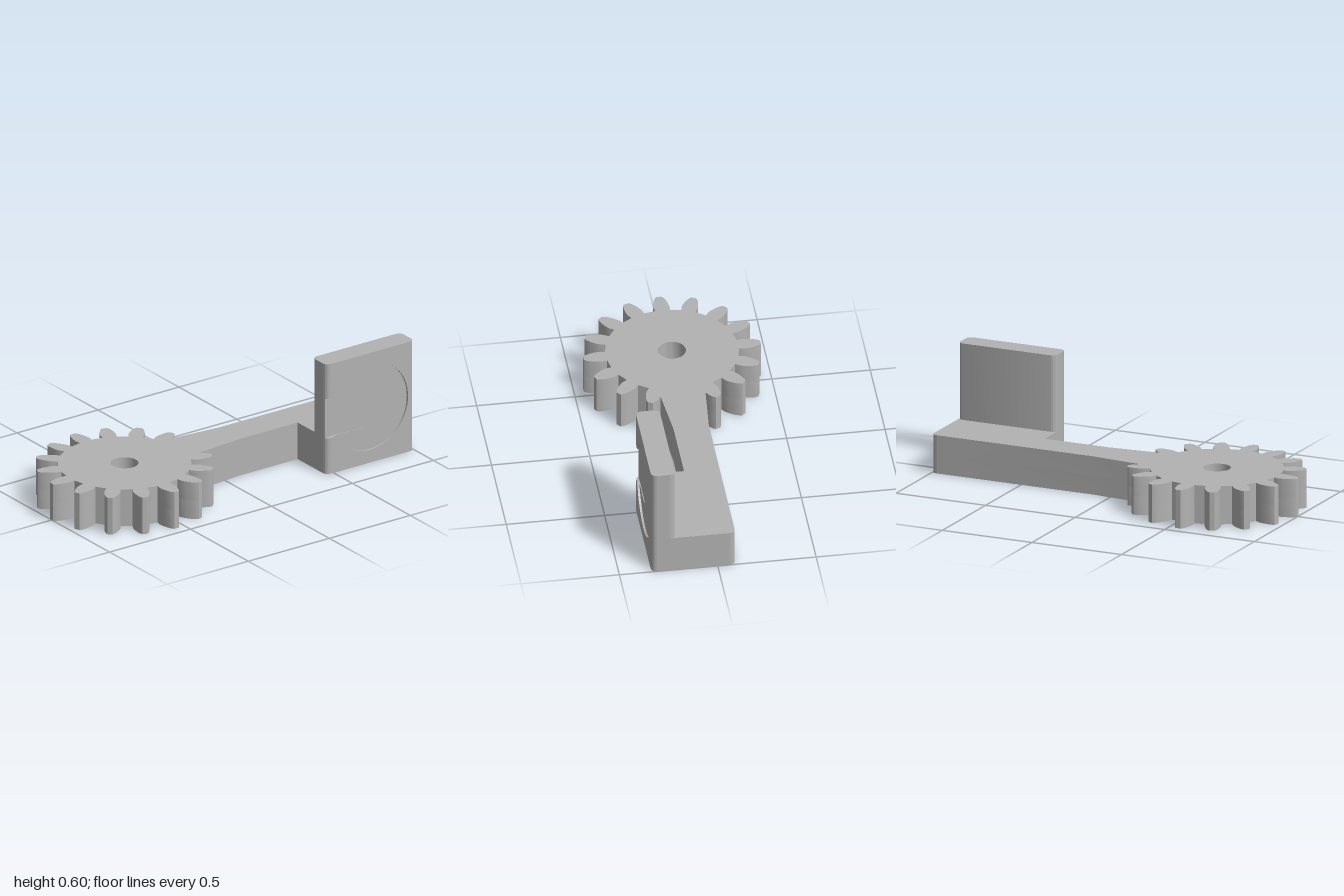
import * as THREE from 'three';
import { toCreasedNormals } from 'three/addons/utils/BufferGeometryUtils.js';

const PI = Math.PI;
const GEAR_Y = -0.55;                    // gear centre, plan coordinates (x, -z)
const PLATE = { left: 0.215, right: 0.337, near: 0.455, far: 1, height: 0.6, r: 0.03 };
const FLOOR = 0.322;                     // depth at which the face recess ends

const grey = new THREE.MeshStandardMaterial({ color: 0xb2b2b2 });
grey.name = 'grey';

function part(name, geometry) {
  const mesh = new THREE.Mesh(toCreasedNormals(geometry, 0.5), grey);
  mesh.name = name;
  return mesh;
}

// Plan shape (x, -z) raised from y0 to y1
function raise(shape, y0, y1) {
  return new THREE.ExtrudeGeometry(shape, { depth: y1 - y0, bevelEnabled: false, curveSegments: 24 })
    .rotateX(-PI / 2).translate(0, y0, 0);
}

// Side shape (-z, y) extended from x0 to x1
function extendX(shape, x0, x1, steps = 1) {
  return new THREE.ExtrudeGeometry(shape, { depth: x1 - x0, steps, bevelEnabled: false, curveSegments: 48 })
    .rotateY(PI / 2).translate(x0, 0, 0);
}

// Gear and arm share one outline; the tooth under the arm is left out
function gearArmShape() {
  const flank = [[0.335, 0.036], [0.365, 0.041], [0.39, 0.038], [0.415, 0.032], [0.438, 0.023], [0.45, 0.013]];
  const points = [];
  for (let i = 0; i < 15; i++) {
    const a = (112.5 + i * 22.5) * PI / 180;
    const at = ([r, h], side) => new THREE.Vector2(
      r * Math.cos(a) - side * h * Math.sin(a),
      GEAR_Y + r * Math.sin(a) + side * h * Math.cos(a));
    const rise = i === 0 ? flank.slice(2) : flank;
    const fall = i === 14 ? flank.slice(2) : flank;
    points.push(...rise.map(p => at(p, -1)), ...fall.map(p => at(p, 1)).reverse());
  }
  const shape = new THREE.Shape(points);
  shape.lineTo(0.09, 0.1);
  shape.lineTo(0.09, PLATE.near);
  shape.lineTo(0.26, PLATE.near);
  shape.lineTo(0.26, PLATE.far);
  shape.absarc(-0.06, 0.97, 0.03, PI / 2, PI, false);
  shape.lineTo(-0.09, 0.1);
  return shape;
}

// Round shaft hole, and the tapered pocket on the underside
function shaftHole() {
  return new THREE.Path().absarc(0, GEAR_Y, 0.07, 0, PI * 2, false);
}
function pocketHole() {
  const path = new THREE.Path();
  path.absarc(0, GEAR_Y, 0.09, PI, PI * 2, false);
  path.absarc(0, -0.2, 0.065, 0, PI, false);
  path.closePath();
  return path;
}

// Upright plate behind the recess, rounded at its vertical edges
function plateBodyShape() {
  const { left, right, near, far, r } = PLATE;
  const s = new THREE.Shape();
  s.absarc(left + r, near + r, r, PI, PI * 1.5, false);
  s.absarc(right - r, near + r, r, -PI / 2, -PI / 3, false);
  s.absarc(right - r, far - r, r, PI / 3, PI / 2, false);
  s.absarc(left + r, far - r, r, PI / 2, PI, false);
  s.closePath();
  return s;
}

// Outer face layer with a round recess that opens through a notch
const DISC = { u: 0.725, v: 0.305, r: 0.235 };
const NOTCH = { low: 0.195, high: 0.41, end: 0.685 };
const openAngle = Math.asin((NOTCH.high - DISC.v) / DISC.r);

function faceLayer() {
  const { near, far, height, right, r } = PLATE;
  const s = new THREE.Shape();
  s.moveTo(near, 0);
  s.lineTo(far, 0);
  s.lineTo(far, height);
  s.lineTo(near, height);
  s.lineTo(near, NOTCH.high);
  s.absarc(DISC.u, DISC.v, DISC.r, PI - openAngle, -PI + openAngle, true);
  s.lineTo(near, NOTCH.low);
  s.closePath();
  const g = extendX(s, FLOOR, right, 5);
  // Pull the end edges in along the rounded corner
  const p = g.attributes.position;
  for (let i = 0; i < p.count; i++) {
    const dx = p.getX(i) - (right - r);
    const inset = r - Math.sqrt(Math.max(0, r * r - dx * dx));
    p.setZ(i, THREE.MathUtils.clamp(p.getZ(i), -far + inset, -near - inset));
  }
  return g;
}

// Recess floor, slightly above the notch floor
function discFloorShape() {
  const s = new THREE.Shape();
  s.absarc(DISC.u, DISC.v, DISC.r, -PI + openAngle, PI - openAngle, false);
  s.lineTo(NOTCH.end, NOTCH.high);
  s.lineTo(NOTCH.end, NOTCH.low);
  s.closePath();
  return s;
}

export function createModel() {
  const model = new THREE.Group();
  model.name = 'gearLever';

  const lower = gearArmShape();
  lower.holes.push(pocketHole());
  const upper = gearArmShape();
  upper.holes.push(shaftHole());

  model.add(
    part('gearArmLower', raise(lower, 0, 0.1)),
    part('gearArmUpper', raise(upper, 0.1, 0.2)),
    part('uprightPlate', raise(plateBodyShape(), 0, PLATE.height)),
    part('plateFace', faceLayer()),
    part('recessFloor', extendX(discFloorShape(), FLOOR, FLOOR + 0.004)),
  );
  return model;
}
